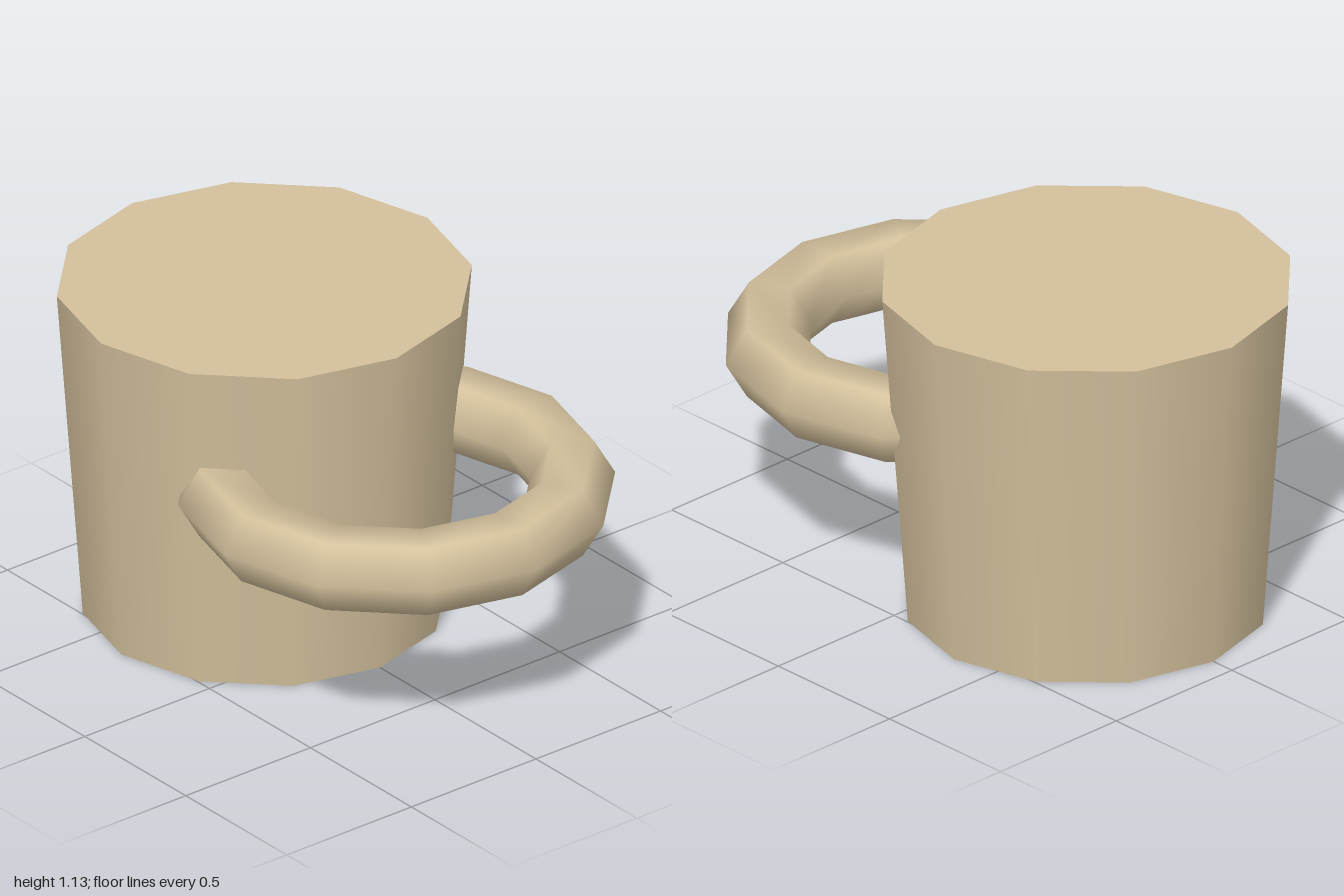
import * as THREE from 'three';

export function createModel() {
  const group = new THREE.Group();
  const material = new THREE.MeshStandardMaterial({ color: 0xd2bf9b });

  // Solid tapered cup, twelve sides, smooth wall
  const height = 1.13;
  const body = new THREE.Mesh(new THREE.CylinderGeometry(0.655, 0.573, height, 12), material);
  body.name = 'cupBody';
  body.position.set(-0.345, height / 2, 0);
  group.add(body);

  // Horizontal ring handle with a six-sided tube, partly sunk into the cup
  const handle = new THREE.Mesh(new THREE.TorusGeometry(0.555, 0.135, 6, 12), material);
  handle.name = 'ringHandle';
  handle.rotation.x = Math.PI / 2;
  handle.position.set(0.31, 0.669, 0);
  group.add(handle);

  return group;
}
